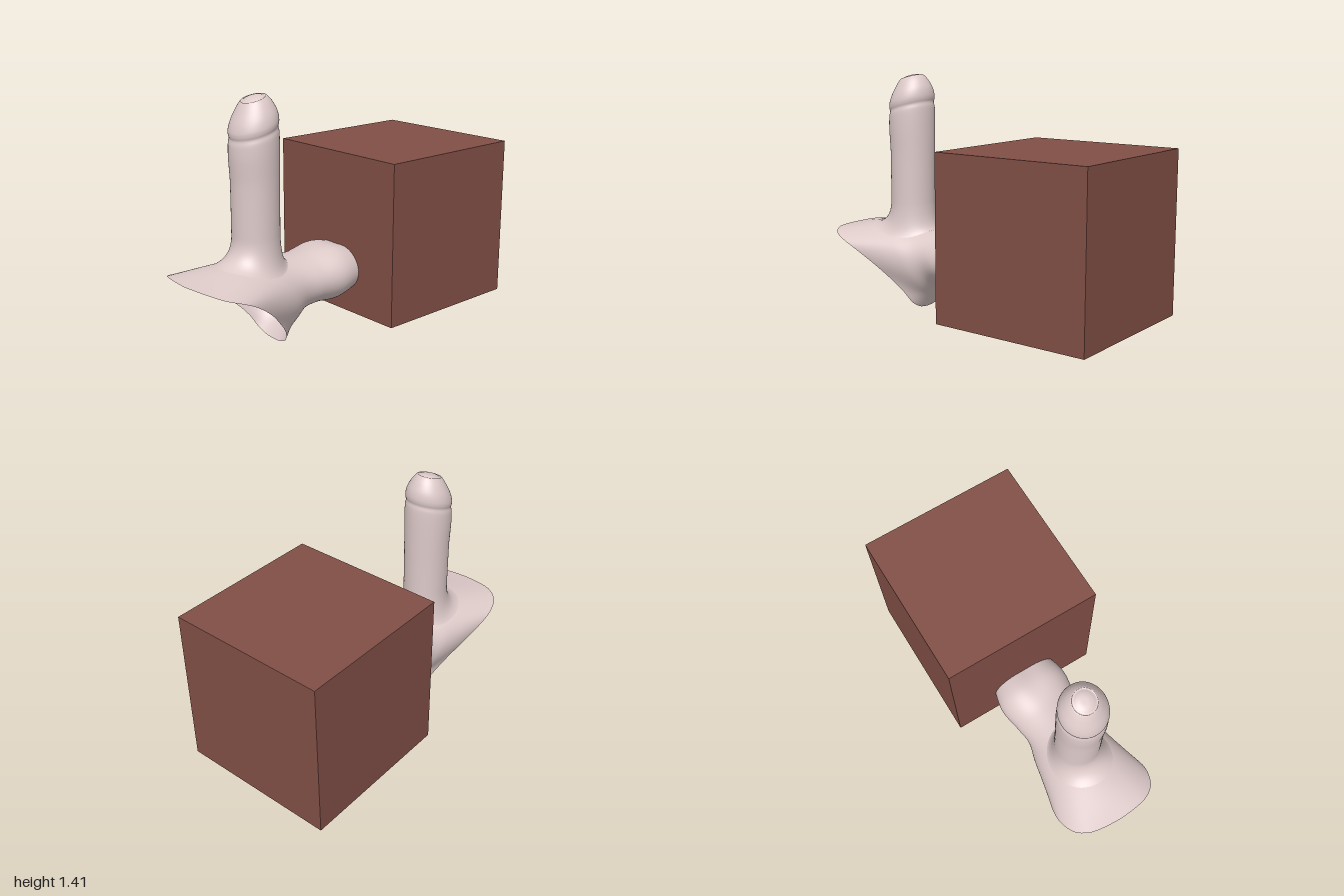
import * as THREE from 'three';

const SEG = 72;
const CZ = 0.525; // z of the column's axis

// Smooth skin over a list of closed rings with equal point counts
function loft(rings) {
  const n = rings[0].length, pos = [], idx = [];
  rings.forEach((ring) => ring.forEach((p) => pos.push(p.x, p.y, p.z)));
  for (let i = 0; i < rings.length - 1; i++) {
    for (let j = 0; j < n; j++) {
      const k = (j + 1) % n, a = i * n + j, b = i * n + k;
      idx.push(a, a + n, b, b, a + n, b + n);
    }
  }
  const g = new THREE.BufferGeometry();
  g.setAttribute('position', new THREE.Float32BufferAttribute(pos, 3));
  g.setIndex(idx);
  g.computeVertexNormals();
  return g;
}

// Tilted oval: half width, top and bottom y, z at top / side / bottom
function oval({ w, top, bottom, z, lift = 0, dent = 0 }) {
  const [zt, zs, zb] = z, ring = [];
  for (let j = 0; j < SEG; j++) {
    const t = (j / SEG) * Math.PI * 2, c = Math.cos(t), s = Math.sin(t);
    const x = w * s;
    const y = (top + bottom) / 2 + ((top - bottom) / 2) * c + lift * s * s
      - dent * c * Math.exp(-((x / 0.08) ** 2));
    ring.push(new THREE.Vector3(x, y, zs + ((zt - zb) / 2) * c + ((zt + zb) / 2 - zs) * c * c));
  }
  return ring;
}

// Mirrored edge of the front opening, from top centre to bottom centre
function openingRim() {
  const half = new THREE.CatmullRomCurve3([
    [0, 0.46, 1], [0.12, 0.46, 0.99], [0.2, 0.455, 0.97], [0.265, 0.435, 0.92],
    [0.298, 0.405, 0.83], [0.295, 0.37, 0.755], [0.255, 0.28, 0.625], [0.205, 0.19, 0.53],
    [0.165, 0.11, 0.46], [0.125, 0.04, 0.425], [0.06, 0.005, 0.412], [0, 0, 0.41],
  ].map((p) => new THREE.Vector3(...p)));
  const ring = [];
  for (let j = 0; j < SEG; j++) {
    const u = (2 * j) / SEG;
    const p = half.getPointAt(u <= 1 ? u : 2 - u);
    if (u > 1) p.x *= -1;
    ring.push(p);
  }
  return ring;
}

// Hollow body: ovals flaring forward into the opening
function bodyGeometry() {
  const sections = [
    oval({ w: 0.19, top: 0.48, bottom: 0.205, z: [-0.1, -0.1, -0.1], dent: 0.02 }),
    oval({ w: 0.225, top: 0.507, bottom: 0.167, z: [0.04, 0.05, 0.06], dent: 0.012 }),
    oval({ w: 0.203, top: 0.48, bottom: 0.175, z: [0.22, 0.2, 0.19] }),
    oval({ w: 0.19, top: 0.483, bottom: 0.15, z: [0.38, 0.31, 0.28], lift: 0.01 }),
    oval({ w: 0.222, top: 0.51, bottom: 0.085, z: [0.64, 0.45, 0.345], lift: 0.04 }),
    openingRim(),
  ];
  const paths = sections[0].map((_, j) => new THREE.CatmullRomCurve3(sections.map((s) => s[j])));
  const rings = [];
  for (let i = 0; i <= 50; i++) rings.push(paths.map((p) => p.getPoint(i / 50)));
  return loft(rings);
}

// Column with a rounded foot that lands on the body, and a tilted domed tip
function columnGeometry(body) {
  const ray = new THREE.Raycaster();
  const down = new THREE.Vector3(0, -1, 0);
  const surfaceY = (x, z) => {
    ray.set(new THREE.Vector3(x, 2, z), down);
    const hit = ray.intersectObject(body)[0];
    return hit ? hit.point.y : 0.42;
  };
  const angles = Array.from({ length: SEG }, (_, j) => (j / SEG) * Math.PI * 2);
  const at = (a, r, y, cz = CZ) => new THREE.Vector3(-r * Math.sin(a), y, cz + r * Math.cos(a));

  // Foot: one curve per angle
  const feet = angles.map((a) => {
    const c = Math.cos(a), R = 0.19 + 0.04 * c + 0.03 * c * c;
    const outer = at(a, R, 0), inner = at(a, 0.14, 0);
    return new THREE.QuadraticBezierCurve3(
      at(a, R, surfaceY(outer.x, outer.z) - 0.003),
      at(a, 0.136, surfaceY(inner.x, inner.z) + 0.015),
      at(a, 0.133, 0.645));
  });
  const rings = [];
  for (let i = 0; i < 14; i++) rings.push(feet.map((f) => f.getPoint(i / 14)));

  // Rows: y, radius, centre z, tilt
  const rows = [
    [0.645, 0.133, 0.525, 0], [0.8, 0.133, 0.524, 0], [0.95, 0.134, 0.523, 0],
    [1.08, 0.138, 0.526, 0.06], [1.15, 0.138, 0.526, 0.2], [1.19, 0.136, 0.526, 0.27],
    [1.215, 0.131, 0.526, 0.28], [1.232, 0.135, 0.526, 0.28], [1.255, 0.136, 0.526, 0.28],
    [1.3, 0.125, 0.524, 0.28], [1.35, 0.1, 0.523, 0.28], [1.375, 0.083, 0.524, 0.28],
    [1.391, 0.068, 0.525, 0.28], [1.389, 0.062, 0.525, 0.28], [1.397, 0.045, 0.525, 0.28],
    [1.402, 0.025, 0.525, 0.28], [1.403, 0.0005, 0.525, 0.28],
  ];
  const profile = new THREE.CatmullRomCurve3(rows.map(([y, r]) => new THREE.Vector3(r, y, 0)), false, 'centripetal');
  const N = (rows.length - 1) * 4;
  for (let i = 0; i <= N; i++) {
    const p = profile.getPoint(i / N);
    const k = Math.min(Math.floor(i / 4), rows.length - 2), f = i / 4 - k;
    const cz = THREE.MathUtils.lerp(rows[k][2], rows[k + 1][2], f);
    const tilt = THREE.MathUtils.lerp(rows[k][3], rows[k + 1][3], f);
    rings.push(angles.map((a) => at(a, p.x, p.y - tilt * p.x * Math.cos(a), cz)));
  }
  return loft(rings);
}

export function createModel() {
  const group = new THREE.Group();
  const skin = new THREE.MeshStandardMaterial({ color: 0xdcc9c8, side: THREE.DoubleSide });
  skin.name = 'palePink';
  const brown = new THREE.MeshStandardMaterial({ color: 0x814f46 });
  brown.name = 'reddishBrown';

  const add = (name, geometry, material) => {
    const mesh = new THREE.Mesh(geometry, material);
    mesh.name = name;
    group.add(mesh);
    return mesh;
  };

  const body = add('hollowBody', bodyGeometry(), skin);
  add('column', columnGeometry(body), skin);

  // Block behind the body
  const block = add('block', new THREE.BoxGeometry(0.945, 0.945, 0.945), brown);
  block.position.set(0, 0.555, -0.5275);
  return group;
}
